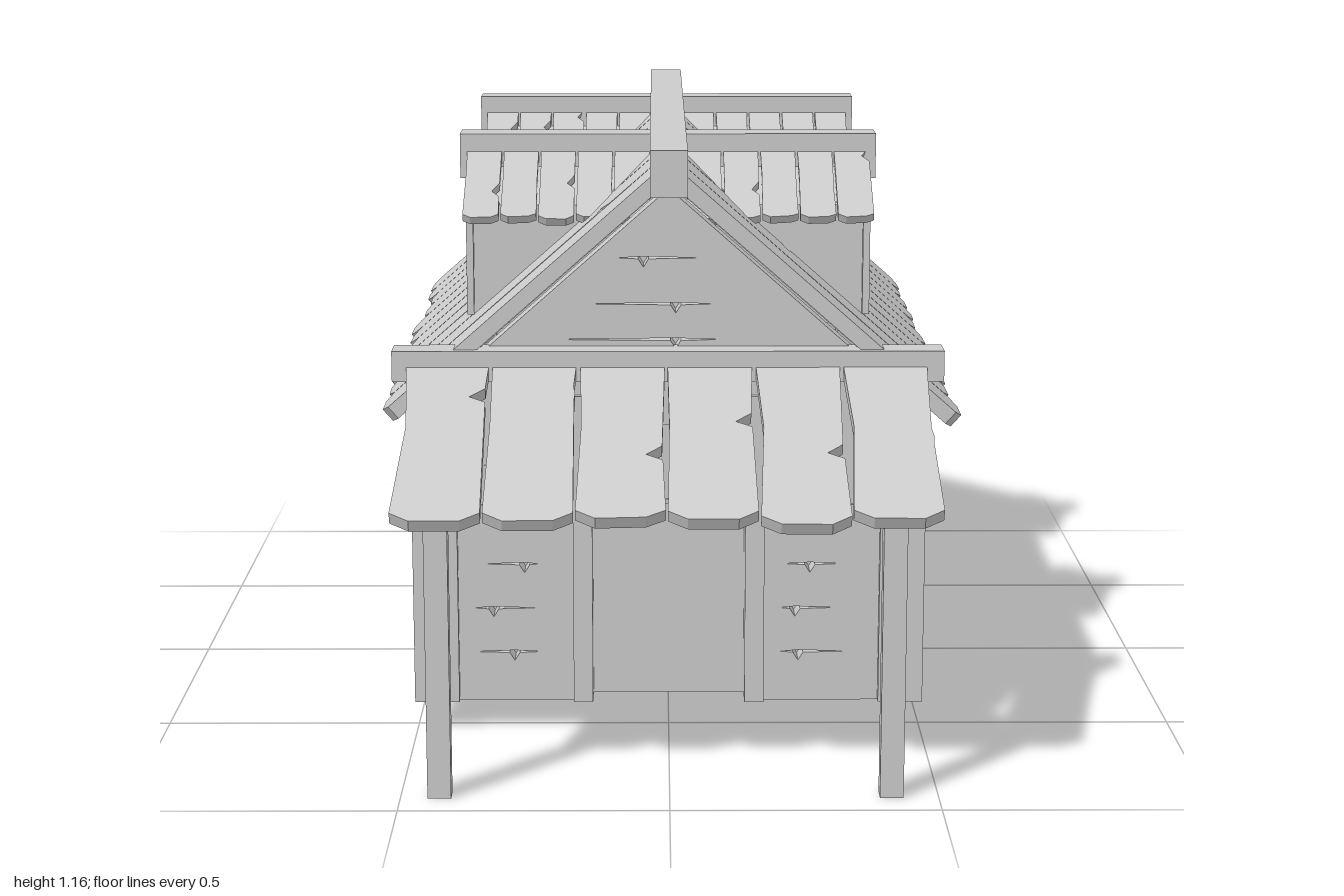
import * as THREE from 'three';

const mat = new THREE.MeshStandardMaterial({ color: 0xcccccc, flatShading: true });
const RIDGE_Z = -0.205;
const DORMER_Z = [0.165, -0.55];

let seed = 7;
const rnd = () => (seed = (seed * 16807) % 2147483647) / 2147483647;
const vary = (a) => (rnd() * 2 - 1) * a;

const shapeOf = (pts) => new THREE.Shape(pts.map((p) => new THREE.Vector2(...p)));
const rect = (x0, x1, y0, y1) => [[x0, y0], [x1, y0], [x1, y1], [x0, y1]];
const addHole = (shape, pts) => shape.holes.push(new THREE.Path(pts.map((p) => new THREE.Vector2(...p))));

function add(parent, name, geo) {
  const mesh = new THREE.Mesh(geo, mat);
  mesh.name = name;
  parent.add(mesh);
  return mesh;
}

// Box given by its limits on each axis
function box(parent, name, x0, x1, y0, y1, z0, z1) {
  const mesh = add(parent, name, new THREE.BoxGeometry(x1 - x0, y1 - y0, z1 - z0));
  mesh.position.set((x0 + x1) / 2, (y0 + y1) / 2, (z0 + z1) / 2);
  return mesh;
}

// Slab whose outer face lies at z = front
function slab(parent, name, shape, depth, front = 0) {
  const geo = new THREE.ExtrudeGeometry(shape, { depth, bevelEnabled: false });
  geo.translate(0, 0, front - depth);
  return add(parent, name, geo);
}

// Group turned about y, so its local +z faces outward
function facing(parent, name, angle, x, y, z) {
  const g = new THREE.Group();
  g.name = name;
  g.position.set(x, y, z);
  g.rotation.set(0, angle, 0, 'YXZ');
  parent.add(g);
  return g;
}

// Rough plank hanging down from y = 0, with cut corners and split edges
function plankShape(w, len, wobble) {
  const h = w / 2;
  const c = w * 0.22;
  const n = -len * (0.2 + 0.5 * rnd());
  const cut = rnd() < 0.5 ? w * 0.22 : w * 0.02;
  return shapeOf([
    [-h, 0], [-h + Math.abs(vary(wobble)), -len * 0.45], [-h, -len + c * 0.6], [-h + c, -len],
    [h - c, -len - vary(0.004)], [h, -len + c * 0.6],
    [h - wobble * 0.3, n - 0.02], [h - cut, n - 0.004], [h - wobble * 0.4, n + 0.02], [h, 0],
  ]);
}

// Row of planks sloping down and outward from a top line
function plankRoof(parent, name, angle, pos, { width, count, len, t, tilt, wobble, jitter }) {
  const g = facing(parent, name, angle, ...pos);
  g.rotation.x = -tilt;
  const w = width / count;
  for (let i = 0; i < count; i++) {
    const m = slab(g, 'roofPlank', plankShape(w - 0.004, len + vary(jitter), wobble), t);
    m.position.x = -width / 2 + w * (i + 0.5);
  }
  return g;
}

// Timber wall panel with long thin cracks between boards; block = area kept free
function crackedPanel(parent, name, outline, rows, span, { block, hole, depth = 0.05 } = {}) {
  const shape = shapeOf(outline);
  if (hole) addHole(shape, rect(...hole));
  for (const y of rows) {
    const [lo, hi] = span(y);
    const split = block && y > block[2] - 0.03 && y < block[3] + 0.03;
    const parts = split ? [[lo, block[0]], [block[1], hi]] : [[lo, hi]];
    for (const [a, b] of parts) {
      const l = a + 0.012 + (b - a) * 0.12 * rnd();
      const r = b - 0.012 - (b - a) * 0.3 * rnd();
      const m = l + (r - l) * (0.25 + 0.5 * rnd());
      const k = Math.min(0.01, (r - l) * 0.1);
      addHole(shape, [[l, y], [m - k, y - 0.002], [m, y - 0.018], [m + k, y - 0.002], [r, y], [m, y + 0.003]]);
    }
  }
  return slab(parent, name, shape, depth);
}

function windowFrame(parent, half, y0, y1, inHalf, iy0, iy1, t) {
  const outer = shapeOf(rect(-half, half, y0, y1));
  addHole(outer, rect(-inHalf, inHalf, iy0, iy1));
  slab(parent, 'windowFrame', outer, t, t);
  // narrow inner lip
  const lip = shapeOf(rect(-inHalf, inHalf, iy0, iy1));
  addHole(lip, rect(-inHalf + 0.012, inHalf - 0.012, iy0 + 0.012, iy1 - 0.012));
  slab(parent, 'windowLip', lip, 0.03, t * 0.3);
}

function buildWalls(house) {
  // Side walls, two bays each with a window
  for (const s of [-1, 1]) {
    for (const [zc, half] of [[0.16, 0.325], [-0.56, 0.335]]) {
      const g = facing(house, 'sideWall', s * Math.PI / 2, s * 0.48, 0, zc);
      crackedPanel(g, 'wallBoards', rect(-half, half, 0.06, 0.66), [0.15, 0.22, 0.29, 0.35, 0.43, 0.49, 0.57],
        () => [-half, half], { block: [-0.16, 0.16, 0.255, 0.515], hole: [-0.125, 0.125, 0.29, 0.47] });
      windowFrame(g, 0.157, 0.255, 0.515, 0.125, 0.29, 0.47, 0.016);
      box(g, 'wallBacking', -half, half, 0.06, 0.66, -0.06, -0.05);
    }
    for (const [z0, z1] of [[0.47, 0.55], [-0.24, -0.16], [-0.97, -0.89]]) {
      const [a, b] = s > 0 ? [0.415, 0.503] : [-0.503, -0.415];
      box(house, 'wallPost', a, b, 0.06, 0.655, z0, z1);
    }
    box(house, 'doorPost', s * 0.169 - 0.019, s * 0.169 + 0.019, 0.06, 0.68, 0.47, 0.55);
  }

  // Gable walls
  const gable = [[0.47, 0.06], [0.47, 0.67], [0, 1.085], [-0.47, 0.67], [-0.47, 0.06]];
  const span = (y) => {
    const h = y < 0.66 ? 0.4 : 0.4 * (1.07 - y) / 0.41;
    return [-h, h];
  };
  const front = facing(house, 'frontWall', 0, 0, 0, 0.535);
  const doorway = [[-0.15, 0.06], [-0.15, 0.62], [0.15, 0.62], [0.15, 0.06]];
  crackedPanel(front, 'wallBoards', [...gable, ...doorway], [0.16, 0.25, 0.34, 0.46, 0.54, 0.72, 0.79, 0.86, 0.95],
    span, { block: [-0.19, 0.19, 0, 0.64] });
  slab(front, 'wallBacking', shapeOf(gable), 0.01, -0.05);
  const back = facing(house, 'backWall', Math.PI, 0, 0, -0.955);
  crackedPanel(back, 'wallBoards', gable, [0.14, 0.23, 0.32, 0.41, 0.5, 0.59, 0.68, 0.78, 0.87, 0.95], span);
  slab(back, 'wallBacking', shapeOf(gable), 0.01, -0.05);

  // Interior divider and ceiling
  box(house, 'divider', -0.43, 0.43, 0.06, 0.45, -0.21, -0.19);
  box(house, 'ceiling', -0.43, 0.43, 0.45, 0.46, -0.92, 0.49);
}

function buildMainRoof(house) {
  const tilt = Math.atan2(0.545, 0.48);
  for (const s of [-1, 1]) {
    const g = plankRoof(house, 'mainRoof', s * Math.PI / 2, [s * 0.02, 1.125, RIDGE_Z],
      { width: 1.56, count: 11, len: 0.722, t: 0.03, tilt, wobble: 0.008, jitter: 0.014 });
    box(g, 'roofUnderlay', -0.75, 0.75, -0.67, 0, -0.034, -0.026);
  }
  box(house, 'ridgeBeam', -0.036, 0.036, 1.075, 1.165, -1, 0.595);
}

function buildDormers(house) {
  const tilt = Math.atan2(0.21, 0.135);
  const outline = [[-0.14, 0.78], [0.14, 0.78], [0.14, 1.02], [0, 1.105], [-0.14, 1.02]];
  for (const z of DORMER_Z) {
    for (const s of [-1, 1]) {
      const g = facing(house, 'dormer', s * Math.PI / 2, s * 0.39, 0, z);
      const face = shapeOf(outline);
      addHole(face, rect(-0.112, 0.112, 0.835, 0.98));
      slab(g, 'dormerFace', face, 0.035);
      slab(g, 'dormerBody', shapeOf(outline), 0.28, -0.035);
      windowFrame(g, 0.155, 0.8, 1.005, 0.115, 0.832, 0.982, 0.014);
      for (const angle of [0, Math.PI]) {
        plankRoof(house, 'dormerRoof', angle, [s * 0.2225, 1.137, z],
          { width: 0.375, count: 5, len: 0.246, t: 0.018, tilt, wobble: 0.002, jitter: 0.003 });
      }
    }
    box(house, 'dormerRidgeBeam', -0.422, 0.422, 1.06, 1.15, z - 0.036, z + 0.036);
  }
}

function buildPorch(house) {
  const porch = facing(house, 'porch', 0, 0, 0, 0);
  plankRoof(porch, 'porchRoof', 0, [-0.005, 0.765, 0.55],
    { width: 1.01, count: 6, len: 0.488, t: 0.025, tilt: Math.atan2(0.44, 0.225), wobble: 0.016, jitter: 0.012 });
  box(porch, 'porchBeam', -0.533, 0.53, 0.717, 0.777, 0.52, 0.588);
  for (const x of [-0.4275, 0.4125]) {
    box(porch, 'porchPost', x - 0.022, x + 0.022, 0, 0.555, 0.9, 0.935);
  }
}

export function createModel() {
  seed = 7;
  const house = new THREE.Group();
  house.name = 'woodenHouse';
  buildWalls(house);
  buildMainRoof(house);
  buildDormers(house);
  buildPorch(house);
  return house;
}
